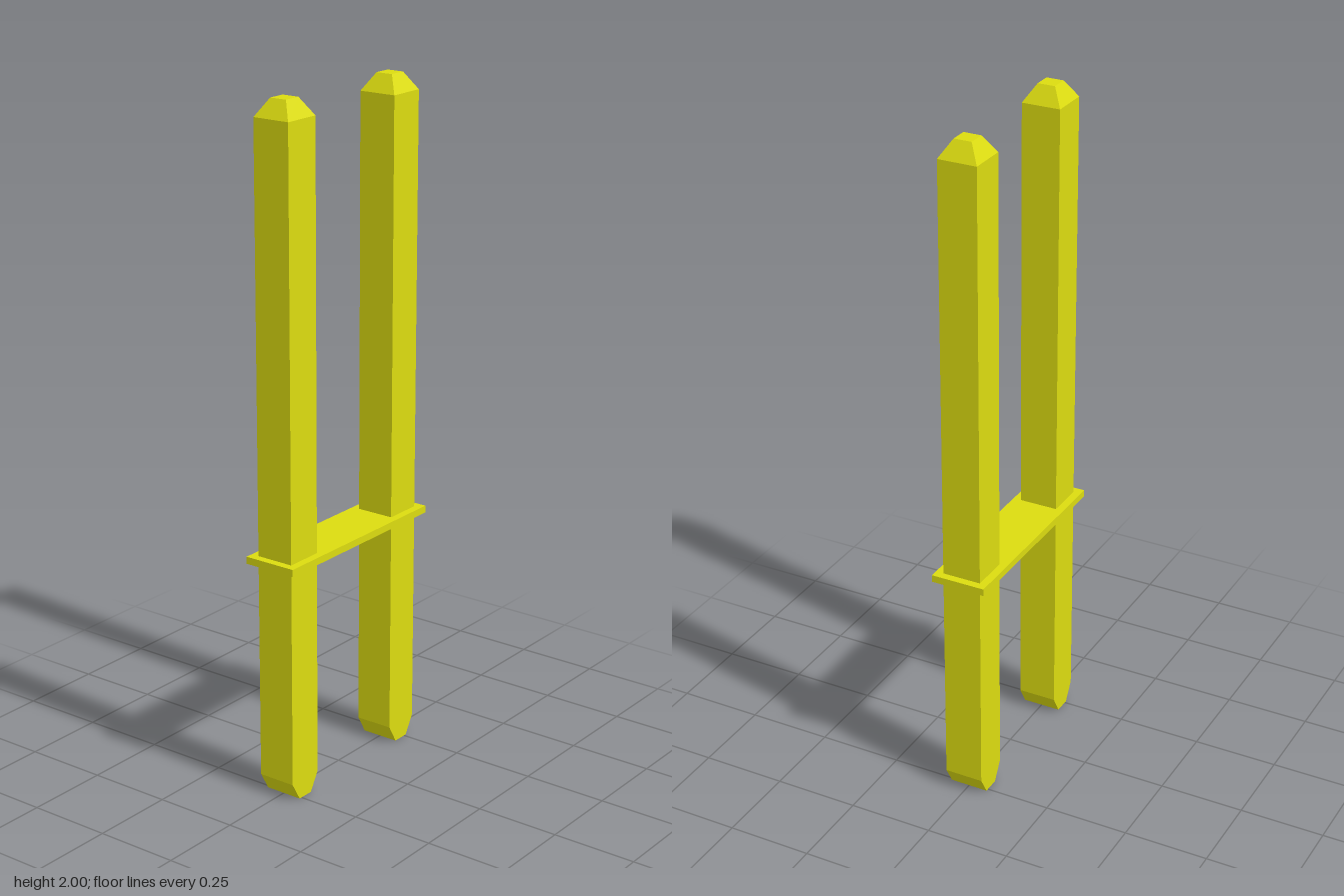
import * as THREE from 'three';

const yellow = new THREE.MeshStandardMaterial({ color: 0xdcdc10, flatShading: true });
yellow.name = 'contactYellow';

// Rows from bottom to top: height, half width in x, half depth in z
const rows = [
  [0, 0.026, 0.0575],
  [0.055, 0.0575, 0.0575],
  [1.95, 0.0575, 0.0575],
  [2, 0.026, 0.026],
];

// Square post: chamfered on two sides at the bottom, on all four at the top
function pinGeometry() {
  const box = new THREE.BoxGeometry(2, 3, 2, 1, 3, 1);
  const p = box.attributes.position;
  for (let i = 0; i < p.count; i++) {
    const [y, hx, hz] = rows[Math.round(p.getY(i) + 1.5)];
    p.setXYZ(i, p.getX(i) * hx, y, p.getZ(i) * hz);
  }
  const flat = box.toNonIndexed();
  flat.computeVertexNormals();
  return flat;
}

export function createModel() {
  const model = new THREE.Group();
  model.name = 'twoPinHeader';

  // Pair of pins
  const geometry = pinGeometry();
  for (const side of [-1, 1]) {
    const pin = new THREE.Mesh(geometry, yellow);
    pin.name = side > 0 ? 'leftPin' : 'rightPin';
    pin.position.x = side * 0.2325;
    model.add(pin);
  }

  // Thin plate joining the pins
  const plate = new THREE.Mesh(new THREE.BoxGeometry(0.627, 0.021, 0.162), yellow);
  plate.name = 'crossPlate';
  plate.position.y = 0.714;
  model.add(plate);

  return model;
}
